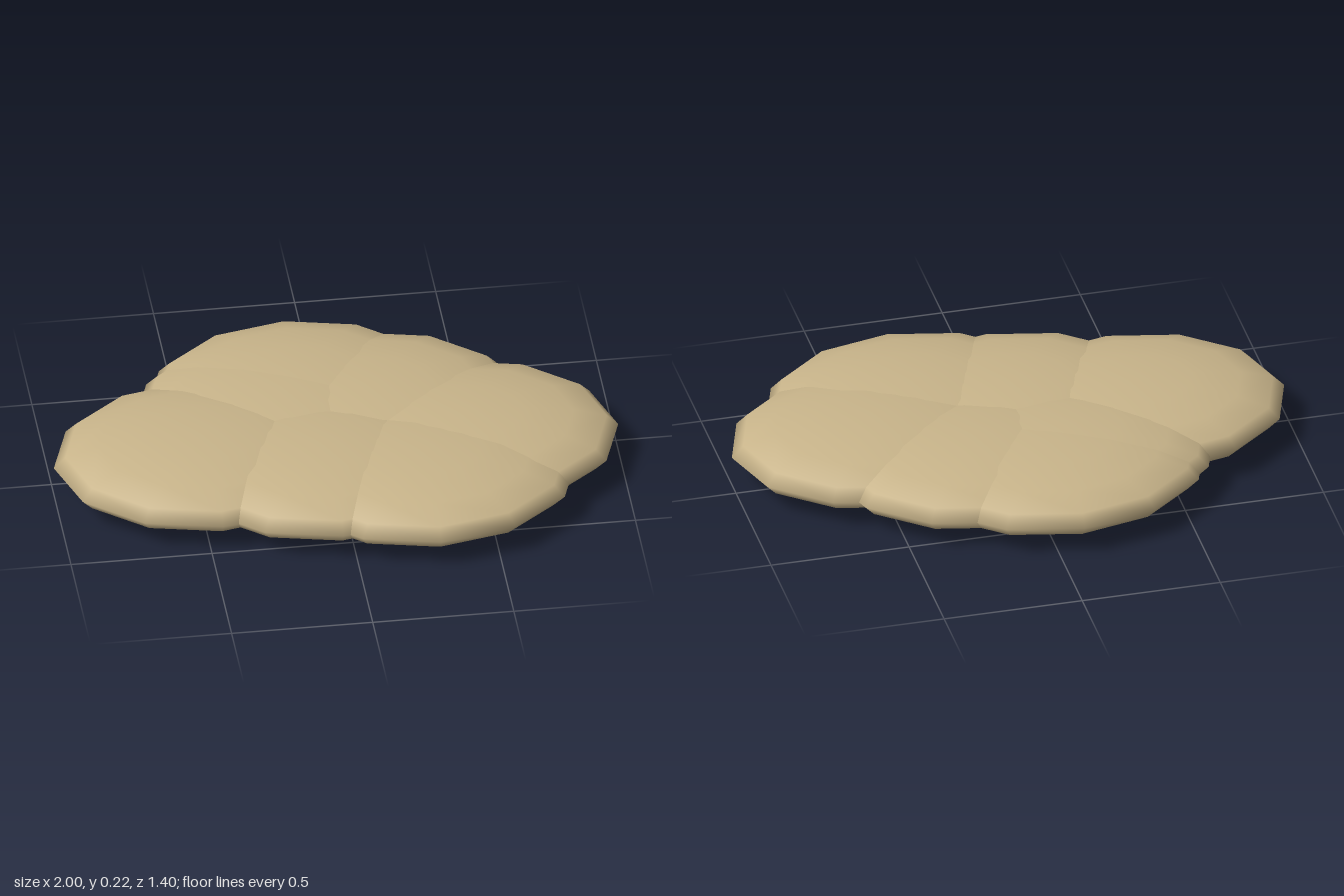
import * as THREE from 'three';

export function createModel() {
  const group = new THREE.Group();
  group.name = 'flatLobedMound';
  const material = new THREE.MeshStandardMaterial({ color: 0xc8b48a });
  // one low-poly smooth ball, squashed into a flat oval
  const lobe = new THREE.SphereGeometry(1, 12, 8);

  // name, centre x, centre z
  const lobes = [
    ['leftLobe', 0.46, 0.06],
    ['frontLeftLobe', 0.285, 0.26],
    ['frontLobe', -0.05, 0.175],
    ['rightLobe', -0.46, 0.06],
    ['backRightLobe', -0.14, -0.19],
    ['backLobe', -0.085, -0.265],
    ['backLeftLobe', 0.16, -0.16],
  ];
  for (const [name, x, z] of lobes) {
    const mesh = new THREE.Mesh(lobe, material);
    mesh.name = name;
    mesh.position.set(x, 0.11, z);
    mesh.scale.set(0.54, 0.11, 0.44);
    group.add(mesh);
  }
  return group;
}
